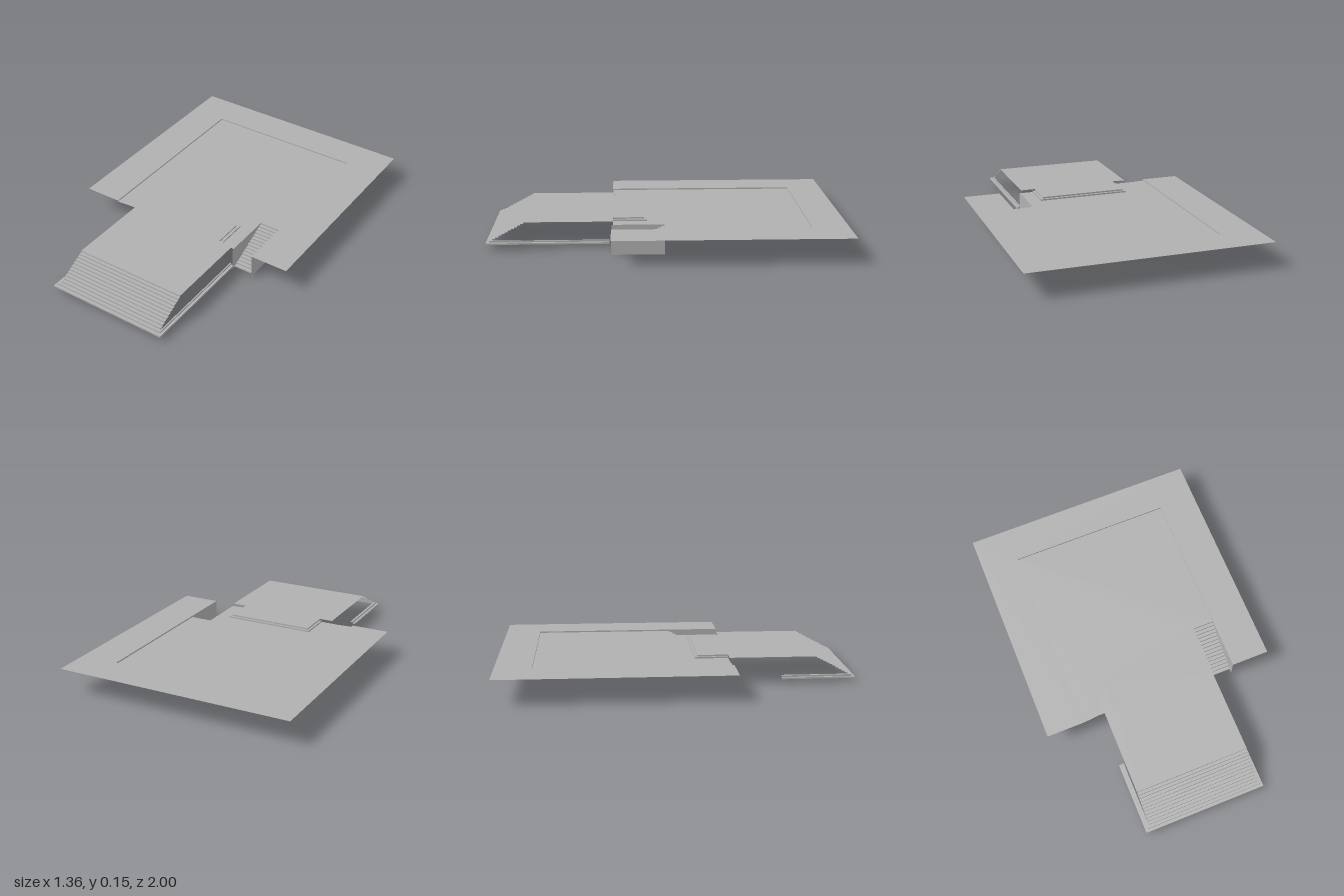
import * as THREE from 'three';

const stone = new THREE.MeshStandardMaterial({ color: 0xb0b0b0, side: THREE.DoubleSide });
stone.name = 'grey stone';

// Horizontal surface from an [x, z] outline at height y
function flat(parent, name, outline, y) {
  const shape = new THREE.Shape(outline.map(([x, z]) => new THREE.Vector2(x, -z)));
  const mesh = new THREE.Mesh(new THREE.ShapeGeometry(shape).rotateX(-Math.PI / 2).translate(0, y, 0), stone);
  mesh.name = name;
  parent.add(mesh);
}

const rect = (x0, x1, z0, z1) => [[x0, z0], [x0, z1], [x1, z1], [x1, z0]];

// Vertical faces along an [x, z] path; they face right of the walking direction
function walls(parent, name, path, low, high) {
  for (let i = 0; i + 1 < path.length; i++) {
    const [ax, az] = path[i], [bx, bz] = path[i + 1];
    const geo = new THREE.PlaneGeometry(Math.hypot(bx - ax, bz - az), high - low);
    geo.rotateY(Math.atan2(az - bz, bx - ax)).translate((ax + bx) / 2, (low + high) / 2, (az + bz) / 2);
    const mesh = new THREE.Mesh(geo, stone);
    mesh.name = name;
    parent.add(mesh);
  }
}

// Straight flight descending towards +z
function flight(parent, x0, x1, z, pitch, top, rise, risers, treads) {
  for (let i = 0; i < risers; i++) {
    const y = top - i * rise, zi = z + i * pitch;
    walls(parent, 'riser', [[x0, zi], [x1, zi]], y - rise, y);
    if (i < treads) flat(parent, 'tread', rect(x0, x1, zi, zi + pitch), y - rise);
  }
}

export function createModel() {
  const model = new THREE.Group();
  model.name = 'terrace';
  const group = (name) => {
    const g = new THREE.Group();
    g.name = name;
    model.add(g);
    return g;
  };
  const ground = 0.143, floor = 0.135, landing = 0.152;
  const W = 0.463, back = -0.795, front = 0.304;

  // Surrounding ground and sunken floor
  const court = group('courtyard');
  flat(court, 'surround', [[-0.68, -1], [-0.68, front], [-W, front], [-W, back],
    [W, back], [W, front], [0.68, front], [0.68, -1]], ground);
  walls(court, 'floorEdge', [[-W, front], [-W, back], [W, back], [W, front]], floor, ground);
  flat(court, 'sunkenFloor', [[-W, back], [-W, 0.302], [-0.365, 0.294], [-0.267, 0.294], [-0.267, 0.106],
    [0.262, 0.106], [0.262, 0.294], [0.339, 0.294], [0.339, 0.01], [W, 0.01], [W, back]], floor);

  // Two low steps rising to the landing
  const steps = group('landingSteps');
  walls(steps, 'lowRiser', [[0.262, 0.294], [0.262, 0.106], [-0.267, 0.106], [-0.267, 0.294]], floor, 0.1435);
  flat(steps, 'lowTread', [[-0.267, 0.106], [-0.267, 0.294], [-0.254, 0.294], [-0.254, 0.12],
    [0.246, 0.12], [0.246, 0.294], [0.262, 0.294], [0.262, 0.106]], 0.1435);
  walls(steps, 'highRiser', [[0.246, 0.294], [0.246, 0.12], [-0.254, 0.12], [-0.254, 0.294]], 0.1435, landing);
  flat(steps, 'landing', [[-0.254, 0.12], [-0.254, 0.294], [-0.332, 0.294], [-0.332, 0.79],
    [0.332, 0.79], [0.332, 0.294], [0.246, 0.294], [0.246, 0.12]], landing);

  // Wide front stair
  const stair = group('frontStair');
  const pitch = 0.0175, rise = 0.0094, z0 = 0.79;
  flight(stair, -0.332, 0.332, z0, pitch, landing, rise, 11, 11);

  // The two lowest steps wrap round the sides at unequal lengths
  const wrap = group('wrappingSteps');
  const leftZ = 0.585, rightZ = 0.315;
  const rings = [[-0.332, 0.332, z0 + 11 * pitch - 0.008], [-0.346, 0.339, z0 + 11 * pitch], [-0.36, 0.353, 1]];
  for (let i = 1; i < 3; i++) {
    const [a0, b0, c0] = rings[i - 1], [a1, b1, c1] = rings[i];
    const y = landing - (10 + i) * rise;
    flat(wrap, 'wrappingTread', [[a1, leftZ], [a1, c1], [b1, c1], [b1, rightZ],
      [b0, rightZ], [b0, c0], [a0, c0], [a0, leftZ]], y);
    walls(wrap, 'wrappingRiser', [[a1, leftZ], [a1, c1], [b1, c1], [b1, rightZ]], y - rise, y);
  }

  // Narrow side stair going down between two walls
  const side = group('sideStair');
  flight(side, 0.339, W, 0.01, 0.0193, floor, floor / 15, 15, 14);
  walls(side, 'innerWall', [[0.339, 0.304], [0.339, 0.01]], 0, floor);
  walls(side, 'outerWall', [[W, 0.01], [W, 0.304]], 0, floor);
  return model;
}
